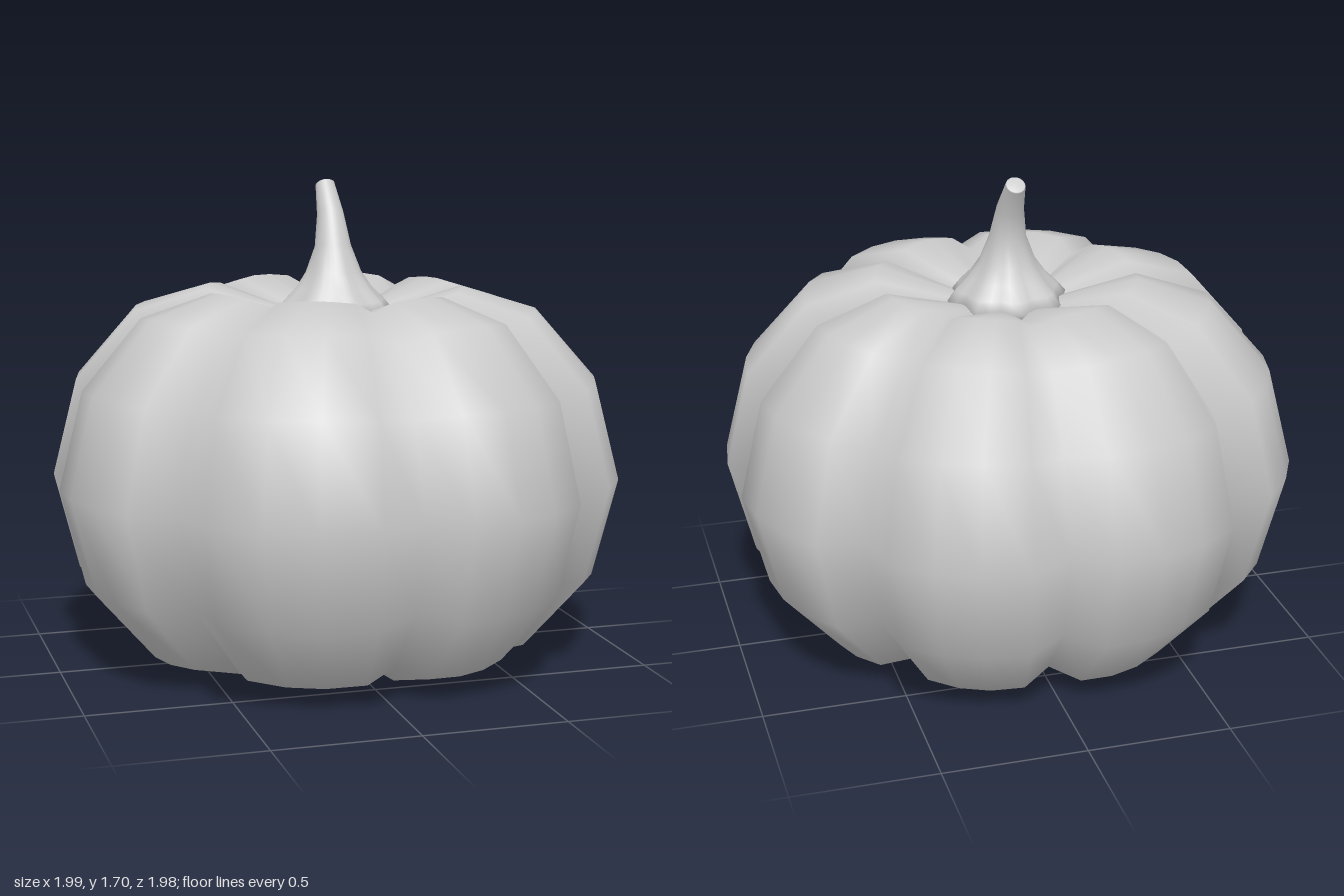
import * as THREE from 'three';

// Closed smooth skin over equal-length rings, with a point at each end.
function loft(rings, start, end) {
  const n = rings[0].length;
  const points = [start, ...rings.flat(), end];
  const last = points.length - 1;
  const index = [];
  for (let i = 0; i < n; i++) {
    const j = (i + 1) % n;
    index.push(0, 1 + i, 1 + j);
    for (let k = 0; k < rings.length - 1; k++) {
      const a = 1 + k * n, b = a + n;
      index.push(a + i, b + i, b + j, a + i, b + j, a + j);
    }
    const top = 1 + (rings.length - 1) * n;
    index.push(top + i, last, top + j);
  }
  const geometry = new THREE.BufferGeometry().setFromPoints(points);
  geometry.setIndex(index);
  geometry.computeVertexNormals();
  return geometry;
}

export function createModel() {
  const group = new THREE.Group();
  const material = new THREE.MeshStandardMaterial({ color: 0xcccccc, roughness: 0.8 });
  const add = (name, geometry) => {
    const mesh = new THREE.Mesh(geometry, material);
    mesh.name = name;
    group.add(mesh);
  };

  // Ribbed body: slightly uneven groove angles, clockwise seen from above
  const grooves = [-1.3, 43.2, 87.5, 140.4, 185, 228.6, 272.5, 316.3];
  // Across one lobe: [fraction, radial scale, vertical scale]
  const lobe = [[0, 0.907, 0.93], [0.185, 1.003, 0.988], [0.4, 1.015, 1],
    [0.6, 1.015, 1], [0.815, 1.003, 0.988]];
  const columns = grooves.flatMap((g, i) => {
    const next = i < 7 ? grooves[i + 1] : grooves[0] + 360;
    return lobe.map(([f, radial, vertical]) => ({
      angle: THREE.MathUtils.degToRad(g + (next - g) * f), radial, vertical,
    }));
  });
  // Profile from underside to crown: [radius, height]
  const profile = [[0.2, 0.07], [0.45, 0.005], [0.7, 0.08], [0.91, 0.325], [0.995, 0.67],
    [0.91, 1.012], [0.7, 1.257], [0.45, 1.333], [0.2, 1.26]];
  const mid = 0.67;
  const bodyRings = profile.map(([r, y]) => columns.map((c) => new THREE.Vector3(
    Math.cos(c.angle) * r * c.radial,
    mid + (y - mid) * c.vertical,
    Math.sin(c.angle) * r * c.radial)));
  add('pumpkinBody', loft(bodyRings,
    new THREE.Vector3(0, 0.13, 0), new THREE.Vector3(0, 1.2, 0)));

  // Stem flaring into a wavy foot: [height, z, radius, backward tilt, ripple]
  const sections = [[1.215, 0, 0.17, 0, 0.012], [1.25, 0, 0.2, 0, 0.014],
    [1.285, 0, 0.175, 0, 0.01], [1.33, 0, 0.133, 0, 0.006], [1.385, -0.005, 0.098, 0.03, 0.002],
    [1.475, -0.014, 0.064, 0.15, 0], [1.585, -0.047, 0.047, 0.42, 0],
    [1.683, -0.113, 0.034, 0.65, 0], [1.685, -0.114, 0.031, 0.65, 0]];
  const sides = 32;
  const stemRings = sections.map(([y, z, r, tilt, ripple]) =>
    Array.from({ length: sides }, (_, i) => {
      const a = (i / sides) * Math.PI * 2;
      const radius = r + ripple * Math.cos(a * 8 + 0.6 * Math.sin(a));
      return new THREE.Vector3(Math.cos(a) * radius, 0, Math.sin(a) * radius)
        .applyAxisAngle(new THREE.Vector3(1, 0, 0), -tilt)
        .add(new THREE.Vector3(0, y, z));
    }));
  add('stem', loft(stemRings,
    new THREE.Vector3(0, 1.2, 0), new THREE.Vector3(0, 1.688, -0.116)));

  return group;
}
